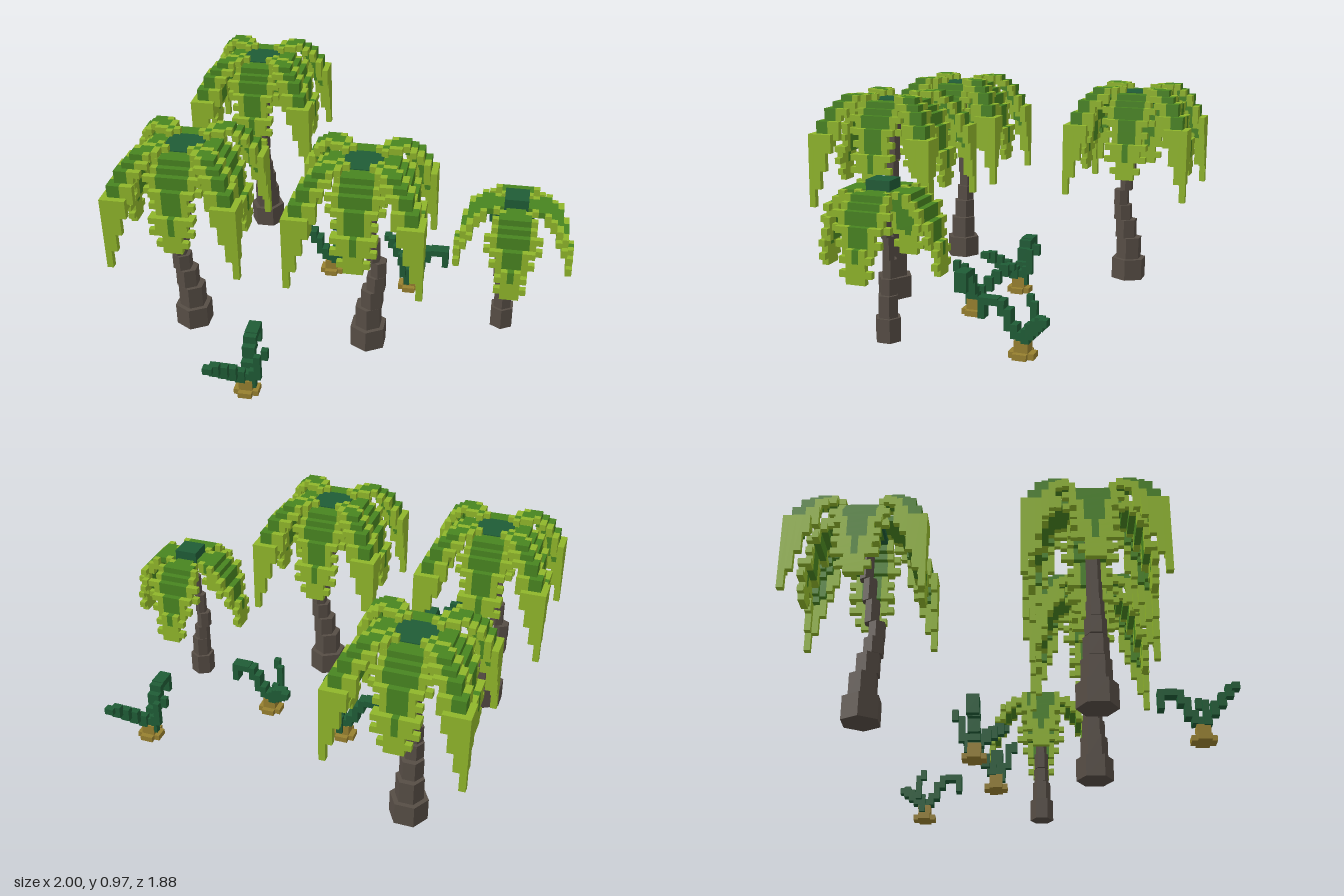
import * as THREE from 'three';
import { mergeGeometries } from 'three/addons/utils/BufferGeometryUtils.js';

const V = 0.0282; // block size

const material = (name, color) => {
  const m = new THREE.MeshStandardMaterial({ color });
  m.name = name;
  return m;
};

// Box given by its limits
function block(x0, x1, y0, y1, z0, z1) {
  const g = new THREE.BoxGeometry(x1 - x0, y1 - y0, z1 - z0);
  return g.translate((x0 + x1) / 2, (y0 + y1) / 2, (z0 + z1) / 2);
}

function addMerged(parent, name, geometries, mat) {
  const mesh = new THREE.Mesh(mergeGeometries(geometries), mat);
  mesh.name = name;
  parent.add(mesh);
}

// Bent trunk of stacked hexagonal drums: [bottom, top, sideways offset, radius]
function addTrunk(tree, drums, mat) {
  const parts = drums.map(([y0, y1, x, r]) =>
    new THREE.CylinderGeometry(r, r, y1 - y0, 6).toNonIndexed().translate(x, (y0 + y1) / 2, 0));
  parts.forEach((g) => g.computeVertexNormals());
  addMerged(tree, 'trunk', parts, mat);
}

// Four straight fronds; each row is [reach, first level, last level, half width, half width of rib]
function straightFronds(top, rows, light, mid) {
  for (let q = 0; q < 4; q++) {
    const add = (list, x0, x1, y0, y1, r) =>
      list.push(block(x0 * V, x1 * V, y0, y1, (r - 0.5) * V, (r + 0.5) * V).rotateY(q * Math.PI / 2));
    for (const [r, a, b, half, rib] of rows) {
      for (let l = a; l <= b; l++) {
        const w = half - (l > 1 && l % 2 ? 1 : 0); // jagged edge
        const y1 = top - l * V, y0 = y1 - V, m = Math.min(rib, w);
        if (m < 0) {
          add(light, -w - 0.5, w + 0.5, y0, y1, r);
          continue;
        }
        add(mid, -m - 0.5, m + 0.5, y0, y1, r);
        if (w > m) {
          add(light, m + 0.5, w + 0.5, y0, y1, r);
          add(light, -w - 0.5, -m - 0.5, y0, y1, r);
        }
      }
    }
  }
}

// Four corner fronds made of hanging columns of blocks
function cornerFronds(top, light, mid) {
  const first = { 7: 1, 8: 2, 9: 4, 10: 6 };
  const last = { 7: 3, 8: 5, 9: 9, 10: 17 };
  for (let i = 2; i <= 10; i++) {
    for (let j = 2; j <= 10; j++) {
      const d = Math.max(i, j), e = Math.abs(i - j);
      const width = d < 5 ? 1 : d < 7 ? 2 : 3;
      if (d < 3 || e > width) continue;
      const a = first[d] ?? 0;
      const b = Math.max(a, (last[d] ?? 0) - e * (d === 10 ? 3 : 1));
      const list = e <= 1 && d < 10 && !(d < 5 && e === 1) ? mid : light;
      for (const sx of [-1, 1]) {
        for (const sz of [-1, 1]) {
          const x = sx * i * V, z = sz * j * V, h = V / 2;
          list.push(block(x - h, x + h, top - (b + 1) * V, top - a * V, z - h, z + h));
        }
      }
    }
  }
}

const BIG_TRUNK = [
  [0, 0.104, 0.025, 0.0866], [0.104, 0.21, 0.026, 0.064], [0.21, 0.3, 0.042, 0.054],
  [0.3, 0.375, 0.06, 0.046], [0.375, 0.45, 0.07, 0.038], [0.45, 0.555, 0.046, 0.033],
  [0.555, 0.66, 0.03, 0.031], [0.66, 0.78, 0.012, 0.031], [0.78, 0.9, 0, 0.031],
];
const SMALL_TRUNK = [
  [0, 0.104, 0.028, 0.058], [0.104, 0.2, 0.028, 0.045], [0.2, 0.27, 0.036, 0.037],
  [0.27, 0.35, 0.05, 0.034], [0.35, 0.45, 0.038, 0.027], [0.45, 0.55, 0.02, 0.025],
  [0.55, 0.64, 0.006, 0.025],
];
const BIG_ROWS = [
  [2, 0, 1, 1, 1], [3, 0, 0, 2, 1], [4, 0, 0, 2, 2], [5, 0, 1, 3, 2], [6, 1, 2, 3, 2],
  [7, 2, 4, 4, 2], [8, 4, 8, 3, 1], [9, 8, 10, 3, 0], [9, 11, 13, 2, -1],
];
const SMALL_ROWS = [
  [1, 0, 0, 1, 1], [2, 0, 0, 1, 1], [3, 0, 0, 2, 1], [4, 0, 0, 2, 2], [5, 0, 1, 3, 2],
  [6, 1, 2, 3, 2], [7, 2, 4, 4, 2], [8, 4, 7, 3, 1], [9, 7, 8, 2, 0], [9, 9, 11, 2, -1],
];

function makePalm(name, big, mats) {
  const tree = new THREE.Group();
  tree.name = name;
  const light = [], mid = [];
  addTrunk(tree, big ? BIG_TRUNK : SMALL_TRUNK, mats.bark);
  straightFronds(big ? 0.943 : 0.66, big ? BIG_ROWS : SMALL_ROWS, light, mid);
  if (big) cornerFronds(0.972, light, mid);
  const c = big ? 0.082 : 0.053;
  addMerged(tree, 'crownHeart', [block(-c, c, big ? 0.89 : 0.645, big ? 0.947 : 0.702, -c, c)], mats.dark);
  addMerged(tree, 'frondRibs', mid, mats.mid);
  addMerged(tree, 'frondEdges', light, mats.light);
  return tree;
}

// Small plant: plus-shaped foot and three bent arms
function makePlant(mats) {
  const plant = new THREE.Group();
  plant.name = 'smallPlant';
  const foot = [
    block(-0.054, 0.054, 0, 0.026, -0.03, 0.03), block(-0.03, 0.03, 0, 0.026, -0.054, 0.054),
    block(-0.03, 0.03, 0.026, 0.075, -0.03, 0.03),
  ];
  addMerged(plant, 'plantFoot', foot, mats.earth);

  const arms = [block(-V, V, 0.05, 0.11, -V * 0.8, V * 0.8)];
  // long arm to the back, drooping at its tip
  [[1, 0.08, 0.14], [2, 0.11, 0.2], [3, 0.17, 0.235], [4, 0.21, 0.24], [5, 0.21, 0.24], [6, 0.15, 0.24]]
    .forEach(([r, y0, y1]) => arms.push(block(-V, V, y0, y1, -(r + 0.6) * V, -(r - 0.4) * V)));
  // diagonal arm
  [[1, 0.07, 0.13], [2, 0.1, 0.165], [3, 0.13, 0.19], [4, 0.16, 0.215], [4.8, 0.185, 0.215]]
    .forEach(([r, y0, y1]) => arms.push(
      block(-(r + 0.5) * V, -(r - 1) * V, y0, y1, (r - 0.9) * V, (r + 0.3) * V)));
  // short side arm
  [[1, 0.04, 0.13, 0.4], [2, 0.1, 0.22, 1], [3, 0.19, 0.24, 0.1]]
    .forEach(([r, y0, y1, z]) => arms.push(
      block((r - 0.4) * V, (r + 0.6) * V, y0, y1, (z - 0.5) * V, (z + 0.5) * V)));
  addMerged(plant, 'plantArms', arms, mats.dark);
  return plant;
}

export function createModel() {
  const model = new THREE.Group();
  model.name = 'palmGrove';
  const mats = {
    bark: material('bark', 0x564d45),
    dark: material('darkGreen', 0x1f5c36),
    mid: material('leafGreen', 0x488420),
    light: material('limeGreen', 0x8fb52a),
    earth: material('earthBrown', 0x97802f),
  };
  const place = (object, x, z, turn) => {
    object.position.set(x, 0, z);
    object.rotation.y = turn * Math.PI / 2;
    model.add(object);
  };

  place(makePalm('backPalm', true, mats), -0.6, -0.636, -1);
  place(makePalm('rightPalm', true, mats), -0.703, 0.337, 2);
  place(makePalm('middlePalm', true, mats), 0.083, 0.363, 0);
  place(makePalm('smallPalm', false, mats), 0.732, 0.118, 2);

  place(makePlant(mats), -0.353, 0.8, 0);
  place(makePlant(mats), -0.163, -0.177, 1);
  place(makePlant(mats), 0.24, -0.097, -1);
  place(makePlant(mats), 0.7, -0.478, 2);
  return model;
}
